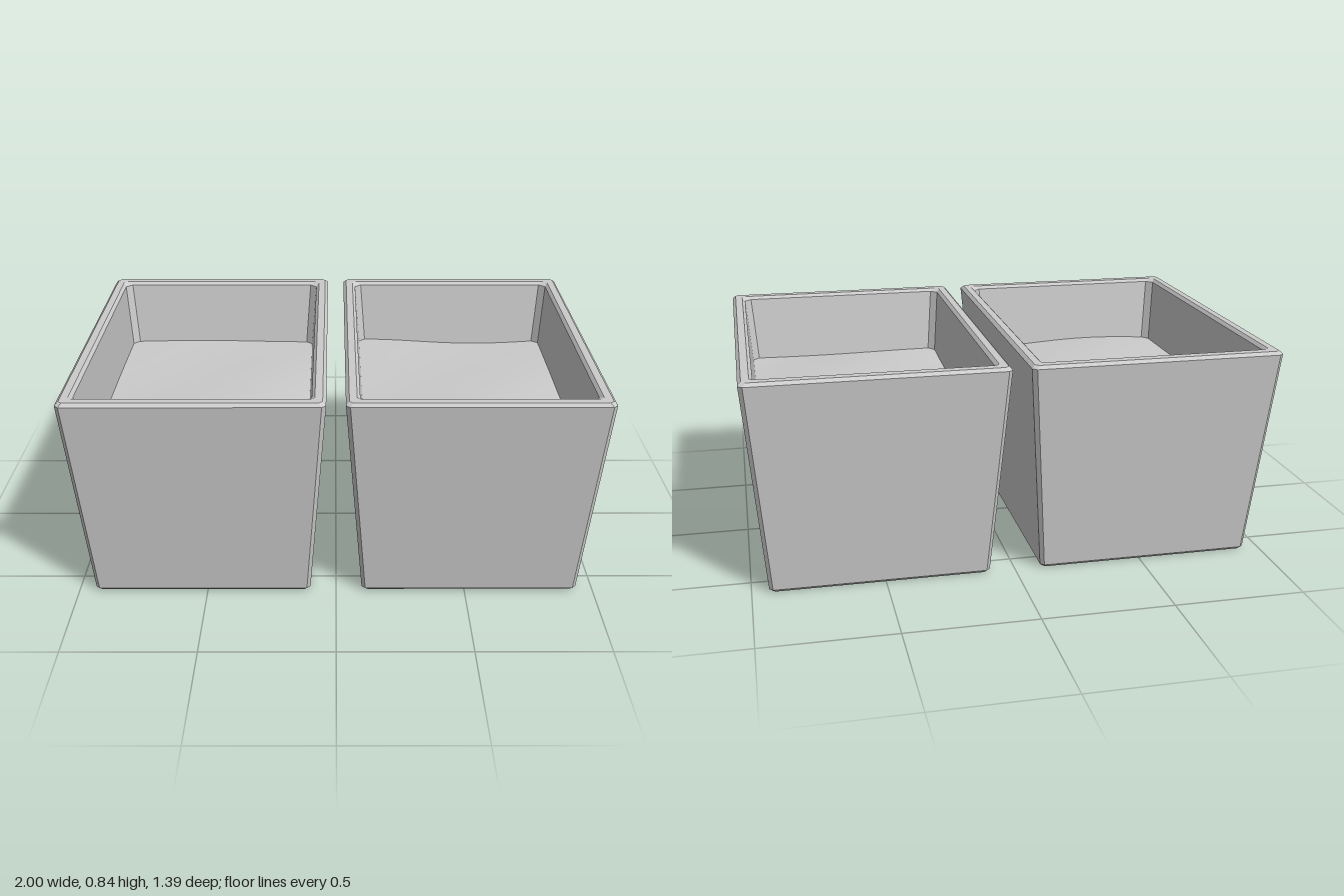
import * as THREE from 'three';

const grey = new THREE.MeshStandardMaterial({ color: 0xcccccc, flatShading: true });
const smoothGrey = new THREE.MeshStandardMaterial({ color: 0xcccccc });

// Rectangle with cut corners, counter-clockwise seen from above
function ring([w, d, y, cut]) {
  const a = w - cut, b = d - cut;
  return [[w, b], [w, -b], [a, -d], [-a, -d], [-w, -b], [-w, b], [-a, d], [a, d]]
    .map(([x, z]) => [x, y, z]);
}

// Skin through successive rings, closed at both ends
function loft(sections) {
  const rings = sections.map(ring);
  const pos = [];
  const tri = (a, b, c) => pos.push(...a, ...b, ...c);
  for (let i = 0; i < rings.length - 1; i++) {
    const lo = rings[i], hi = rings[i + 1];
    for (let j = 0; j < 8; j++) {
      const k = (j + 1) % 8;
      tri(lo[j], lo[k], hi[k]);
      tri(lo[j], hi[k], hi[j]);
    }
  }
  const first = rings[0], last = rings[rings.length - 1];
  for (let j = 1; j < 7; j++) {
    tri(first[0], first[j + 1], first[j]);
    tri(last[0], last[j], last[j + 1]);
  }
  const geo = new THREE.BufferGeometry();
  geo.setAttribute('position', new THREE.Float32BufferAttribute(pos, 3));
  geo.computeVertexNormals();
  return geo;
}

// Half width, half depth, height, corner cut: up the outside, over the rim, down the inside
const potSections = [
  [0.407, 0.592, 0, 0.012],
  [0.418, 0.604, 0.012, 0.014],
  [0.4825, 0.695, 0.828, 0.016],
  [0.470, 0.682, 0.84, 0.014],
  [0.442, 0.648, 0.84, 0.014],
  [0.430, 0.636, 0.828, 0.026],
  [0.372, 0.552, 0.07, 0.026],
];

// Gently uneven earth filling
function soilGeometry(phase) {
  const geo = new THREE.PlaneGeometry(0.83, 1.23, 16, 24).rotateX(-Math.PI / 2);
  const p = geo.attributes.position;
  for (let i = 0; i < p.count; i++) {
    const x = p.getX(i), z = p.getZ(i);
    const mound = 0.02 * Math.cos(x * 3.8) * Math.cos(z * 2.5);
    const ripple = 0.012 * Math.sin(x * 6 + phase) * Math.cos(z * 4.5 - phase);
    p.setY(i, 0.565 + mound + ripple);
  }
  geo.computeVertexNormals();
  return geo;
}

export function createModel() {
  const model = new THREE.Group();
  model.name = 'planterPair';
  const potGeometry = loft(potSections);
  for (const side of [-1, 1]) {
    const planter = new THREE.Group();
    planter.name = side > 0 ? 'leftPlanter' : 'rightPlanter';
    planter.position.x = side * 0.5175;
    const pot = new THREE.Mesh(potGeometry, grey);
    pot.name = 'pot';
    const soil = new THREE.Mesh(soilGeometry(side * 0.9), smoothGrey);
    soil.name = 'soil';
    planter.add(pot, soil);
    model.add(planter);
  }
  return model;
}
